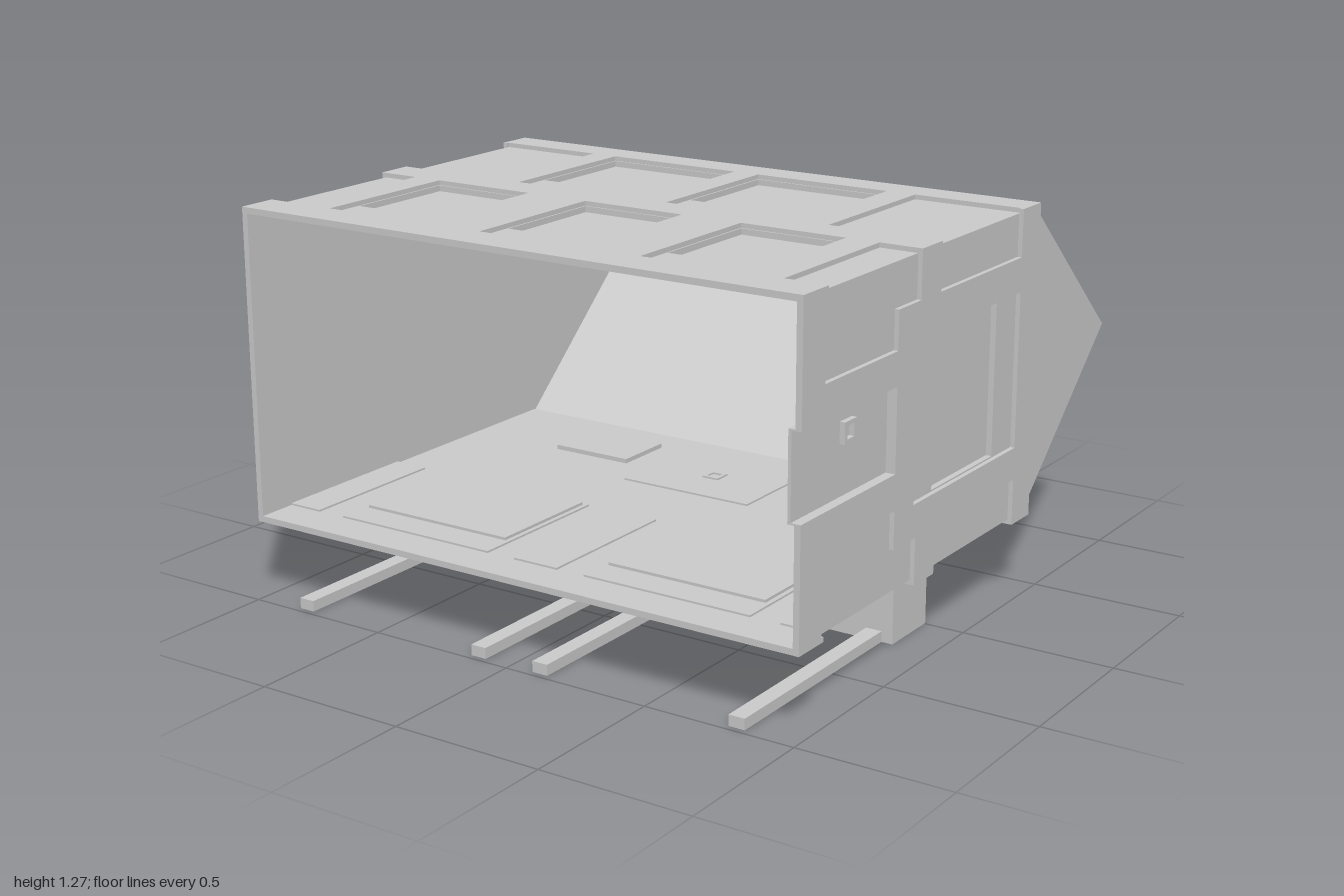
import * as THREE from 'three';

const grey = new THREE.MeshStandardMaterial({ color: 0xcccccc, flatShading: true, side: THREE.DoubleSide });

const rect = (u0, u1, v0, v1) => [[u0, v0], [u1, v0], [u1, v1], [u0, v1]];
const toPoints = (list) => list.map(([u, v]) => new THREE.Vector2(u, v));
const grow = ([u0, u1, v0, v1], d) => [u0 - d, u1 + d, v0 - d, v1 + d];

export function createModel() {
  const model = new THREE.Group();

  const add = (name, geometry) => {
    const mesh = new THREE.Mesh(geometry, grey);
    mesh.name = name;
    model.add(mesh);
    return mesh;
  };

  const box = (name, x0, x1, y0, y1, z0, z1) => {
    const g = new THREE.BoxGeometry(x1 - x0, y1 - y0, z1 - z0);
    g.translate((x0 + x1) / 2, (y0 + y1) / 2, (z0 + z1) / 2);
    return add(name, g);
  };

  // Plate between lo and hi: axis 'y' outlines are (x, z), axis 'x' outlines are (z, y)
  const slab = (name, axis, lo, hi, outline, holes = []) => {
    const shape = new THREE.Shape(toPoints(outline));
    holes.forEach((h) => shape.holes.push(new THREE.Path(toPoints(rect(...h)))));
    const g = new THREE.ExtrudeGeometry(shape, { depth: hi - lo, bevelEnabled: false });
    if (axis === 'y') g.rotateX(Math.PI / 2).translate(0, hi, 0);
    else g.rotateY(-Math.PI / 2).translate(hi, 0, 0);
    return add(name, g);
  };

  // Deep pocket: a rim and a floor standing inwards from the skin
  const tray = (name, axis, skin, inward, r, depth = 0.025) => {
    const end = skin + inward * depth;
    const near = end - inward * 0.006;
    const outer = rect(...grow(r, 0.005));
    slab(name + 'Rim', axis, Math.min(skin, end), Math.max(skin, end), outer, [r]);
    slab(name + 'Floor', axis, Math.min(near, end), Math.max(near, end), outer);
  };

  // Roof: skin, raised frame and deep pockets
  const roofPockets = [
    ...[[-0.76, -0.40], [-0.18, 0.18], [0.39, 0.75]].map(([a, b]) => [a, b, 0.33, 0.85]),
    ...[[-0.53, -0.05], [0.04, 0.52]].map(([a, b]) => [a, b, -0.32, 0.21]),
  ];
  const roofDeep = roofPockets.map(([a, b, c, d]) => [a + 0.005, b - 0.005, c + 0.005, d - 0.13]);
  const half = [[1, 0.98], [1, 0.85], [0.86, 0.85], [0.86, 0.33], [1, 0.33], [1, 0.21],
    [0.62, 0.21], [0.62, -0.32], [1, -0.32], [1, -0.43]];
  const mirrorX = (pts) => [...pts, ...pts.map(([x, z]) => [-x, z]).reverse()];
  const skinXZ = rect(-0.985, 0.985, -0.43, 0.98);
  slab('roofSkin', 'y', 1.255, 1.26, skinXZ, roofDeep);
  slab('roofFrame', 'y', 1.26, 1.275, mirrorX(half), roofPockets);
  roofDeep.forEach((r) => tray('roofPocket', 'y', 1.26, -1, r));

  // Floor: frame at the front, bare skin behind it, bar at the back
  const floorPockets = [[-0.76, -0.18, 0.33, 0.85], [-0.08, 0.08, 0.33, 0.85], [0.18, 0.76, 0.33, 0.85]];
  const floorDeep = [
    [-0.74, -0.2, 0.35, 0.74], [0.2, 0.74, 0.35, 0.74],
    [-0.62, -0.34, -0.3, -0.1], [0.34, 0.62, -0.3, -0.1],
  ];
  slab('floorSkin', 'y', 0.275, 0.28, skinXZ, floorDeep);
  slab('floorFrame', 'y', 0.26, 0.275, mirrorX([...half.slice(0, 5), [1, 0.21]]), floorPockets);
  box('floorBackBar', -1, 1, 0.26, 0.275, -0.43, -0.31);
  floorDeep.forEach((r) => tray('floorPocket', 'y', 0.275, 1, r, 0.02));
  [...floorPockets, [-0.24, 0.24, -0.3, 0.05], [-0.98, -0.86, 0.33, 0.85], [0.86, 0.98, 0.33, 0.85]]
    .forEach((r) => {
      const holes = floorDeep.filter((d) => d[0] > r[0] && d[1] < r[1] && d[2] > r[2] && d[3] < r[3]);
      slab('floorPlate', 'y', 0.28, 0.286, rect(...r), holes);
    });
  slab('floorSocket', 'y', 0.26, 0.292, rect(-0.03, 0.03, -0.16, -0.1), [[-0.018, 0.018, -0.148, -0.112]]);

  // Side walls: notched frames whose corner pockets run on into roof and floor
  const lower = [[0.98, 0.26], [0.86, 0.26], [0.86, 0.53], [0.46, 0.53], [0.46, 0.41], [0.33, 0.41],
    [0.33, 0.26], [0.21, 0.26], [0.21, 0.41], [-0.31, 0.41], [-0.31, 0.26], [-0.43, 0.26]];
  const sideOutline = [...lower, ...lower.map(([z, y]) => [z, 1.535 - y]).reverse()];
  const hatchNotch = [[0.98, 0.90], [0.46, 0.90], [0.46, 0.64], [0.98, 0.64]];
  const skinZY = rect(-0.43, 0.98, 0.275, 1.26);

  const window = [-0.31, 0.345, 0.515, 1.015];
  const windowDeep = [-0.18, 0.21, 0.52, 1.01];
  const notchedSkin = [[0.98, 0.275], [-0.43, 0.275], [-0.43, 1.26], [0.98, 1.26], ...hatchNotch];
  slab('leftSkin', 'x', 0.98, 0.985, notchedSkin, [windowDeep]);
  slab('leftFrame', 'x', 0.985, 1, [...sideOutline, ...hatchNotch], [window]);
  tray('leftPocket', 'x', 0.985, -1, windowDeep);

  // Hatch recess open to the front, with a square socket
  box('hatchFloor', 0.958, 0.968, 0.635, 0.905, 0.455, 0.98);
  box('hatchEnd', 0.958, 0.985, 0.635, 0.905, 0.452, 0.46);
  [0.635, 0.9].forEach((y) => box('hatchEdge', 0.958, 0.985, y, y + 0.005, 0.455, 0.98));
  slab('hatchSocket', 'x', 0.95, 0.985, rect(0.66, 0.725, 0.795, 0.86), [[0.673, 0.712, 0.808, 0.847]]);

  slab('rightSkin', 'x', -0.985, -0.98, skinZY);
  slab('rightFrame', 'x', -1, -0.985, sideOutline, [[-0.31, 0.21, 0.515, 1.015], [0.33, 0.86, 0.58, 0.955]]);

  // Hollow wedge at the back, open towards the box
  const X = 0.98, Z = -0.43, top = 1.262, low = 0.273;
  const a = [X, top, Z], b = [-X, top, Z], c = [X, low, Z], d = [-X, low, Z];
  const e = [X, 0.7675, -0.98], f = [-X, 0.7675, -0.98];
  const wedge = new THREE.BufferGeometry();
  const corners = [a, e, f, a, f, b, c, d, f, c, f, e, a, c, e, b, f, d].flat();
  wedge.setAttribute('position', new THREE.Float32BufferAttribute(corners, 3));
  wedge.computeVertexNormals();
  add('backWedge', wedge);

  // Support bracket: front wall, end posts and a base with openings
  box('bracketWall', -0.865, 0.865, 0, 0.276, 0.18, 0.205);
  [-1, 1].forEach((s) => {
    const post = box('bracketPost', -0.04, 0.04, 0, 0.276, -0.005, 0.205);
    post.position.x = s * 0.825;
  });
  const openings = [-0.6, -0.36, -0.12, 0.12, 0.36, 0.6].map((x) => [x - 0.07, x + 0.07, 0.03, 0.15]);
  slab('bracketBase', 'y', 0, 0.03, rect(-0.865, 0.865, -0.005, 0.205), openings);

  // Four rails reaching forward along the ground
  [-0.81, -0.12, 0.11, 0.8].forEach((x) => box('rail', x - 0.027, x + 0.027, 0, 0.035, 0.2, 0.98));

  return model;
}
